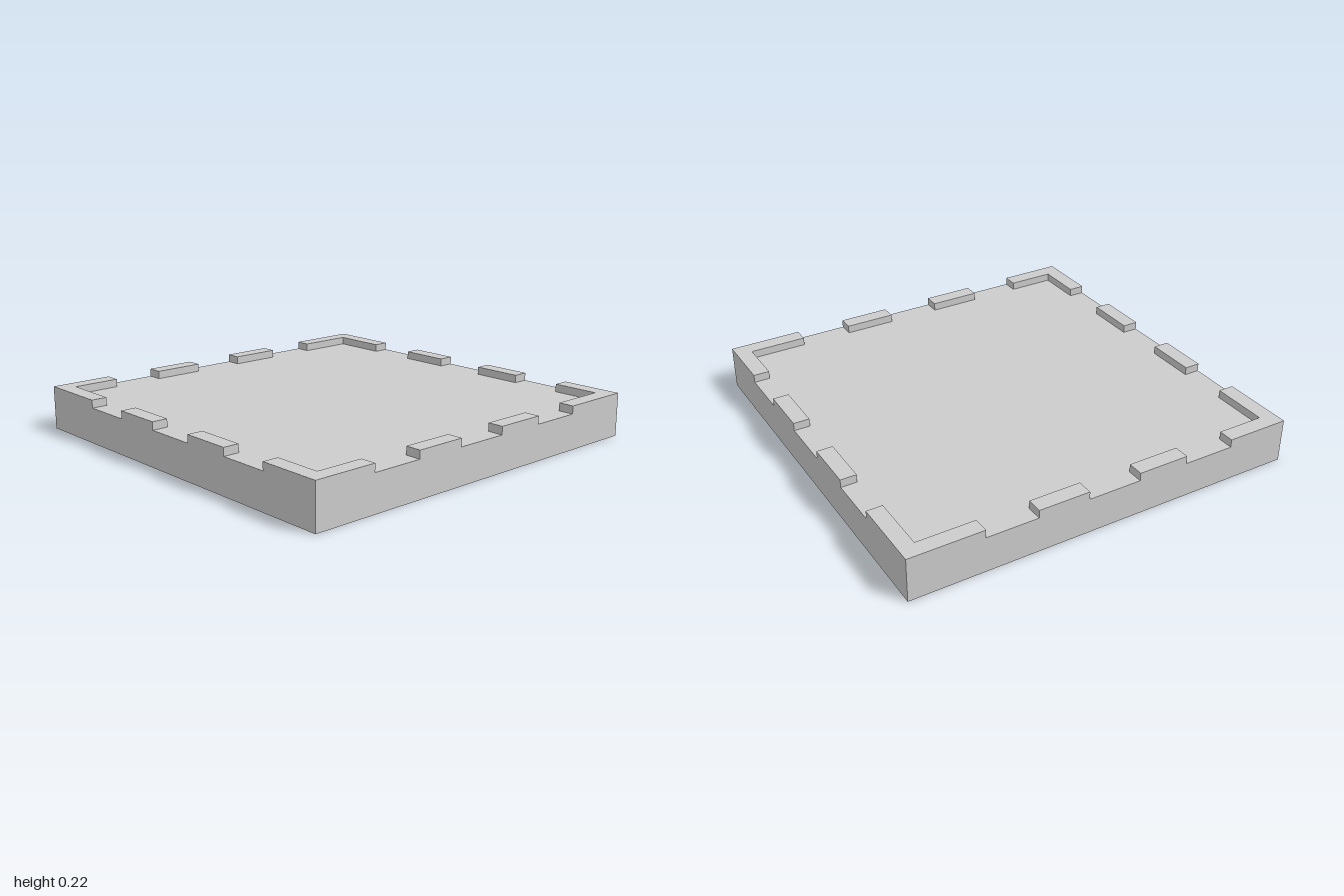
import * as THREE from 'three';

const BASE = 0.18, TOP = 0.22, WALL = 0.08;
const ARM = { '-1': 0.32, '1': 0.37 }; // corner arm lengths at the two ends of a side
const TEETH = [[-0.42, -0.16], [0.11, 0.37]]; // raised spans between the corners

export function createModel() {
  const group = new THREE.Group();
  const material = new THREE.MeshStandardMaterial({ color: 0xcccccc, flatShading: true });

  // Extrude a plan outline upwards; plan y points to the back (-z)
  const addPlan = (name, points, y0, y1) => {
    const shape = new THREE.Shape(points.map(([x, y]) => new THREE.Vector2(x, y)));
    const geometry = new THREE.ExtrudeGeometry(shape, { depth: y1 - y0, bevelEnabled: false });
    geometry.rotateX(-Math.PI / 2).translate(0, y0, 0);
    const mesh = new THREE.Mesh(geometry, material);
    mesh.name = name;
    group.add(mesh);
  };
  const rect = (x0, x1, y0, y1) => [[x0, y0], [x1, y0], [x1, y1], [x0, y1]];

  // Solid square slab
  addPlan('slab', rect(-1, 1, -1, 1), 0, BASE);

  for (const sy of [-1, 1]) {
    // L-shaped corner walls
    for (const sx of [-1, 1]) {
      const ax = sx * (1 - ARM[sx]), ay = sy * (1 - ARM[sy]);
      const ix = sx * (1 - WALL), iy = sy * (1 - WALL);
      addPlan('cornerWall', [[sx, sy], [ax, sy], [ax, iy], [ix, iy], [ix, ay], [sx, ay]], BASE, TOP);
    }
    // Short wall segments on all four sides
    const lo = Math.min(sy, sy * (1 - WALL)), hi = Math.max(sy, sy * (1 - WALL));
    for (const [a, b] of TEETH) {
      addPlan(sy < 0 ? 'frontWallSegment' : 'backWallSegment', rect(a, b, lo, hi), BASE, TOP);
      addPlan(sy < 0 ? 'rightWallSegment' : 'leftWallSegment', rect(lo, hi, a, b), BASE, TOP);
    }
  }
  return group;
}
